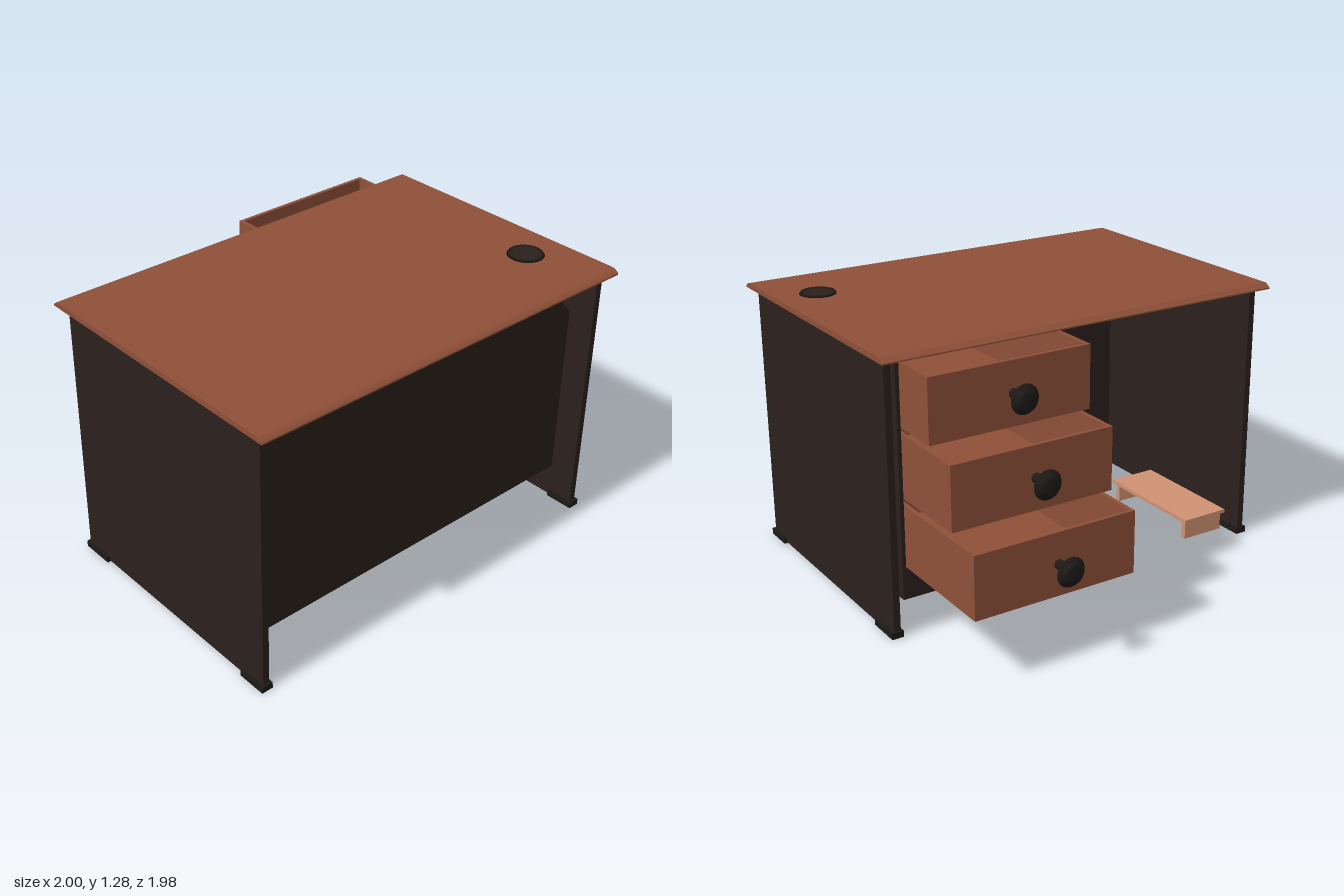
import * as THREE from 'three';

const mat = (color) => new THREE.MeshStandardMaterial({ color });
const wood = mat(0x8f5038);
const dark = mat(0x2b201c);
const black = mat(0x1d1a17);
const tan = mat(0xd09273);

export function createModel() {
  const desk = new THREE.Group();
  desk.name = 'desk';

  const add = (name, geometry, material, parent = desk) => {
    const mesh = new THREE.Mesh(geometry, material);
    mesh.name = name;
    parent.add(mesh);
    return mesh;
  };
  // Box given by its two extreme corners
  const box = (name, x0, x1, y0, y1, z0, z1, material, parent) => {
    const mesh = add(name, new THREE.BoxGeometry(x1 - x0, y1 - y0, z1 - z0), material, parent);
    mesh.position.set((x0 + x1) / 2, (y0 + y1) / 2, (z0 + z1) / 2);
    return mesh;
  };

  // Desktop: chamfered back edge, rounded front edge, swept along x
  const edge = new THREE.Shape();
  edge.moveTo(0.375, 1.25);
  edge.lineTo(0.375, 1.256);
  edge.lineTo(0.35, 1.275);
  edge.lineTo(-0.945, 1.275);
  edge.quadraticCurveTo(-0.97, 1.274, -0.985, 1.256);
  edge.lineTo(-0.985, 1.25);
  const topGeo = new THREE.ExtrudeGeometry(edge, { depth: 2, bevelEnabled: false, curveSegments: 6 });
  topGeo.rotateY(Math.PI / 2).translate(-1, 0, 0);
  add('desktop', topGeo, wood);

  // Side panels, each on a front and a back foot
  for (const s of [-1, 1]) {
    const side = new THREE.Group();
    side.name = s > 0 ? 'leftSide' : 'rightSide';
    desk.add(side);
    const span = (a, b) => (s > 0 ? [a, b] : [-b, -a]);
    box('sidePanel', ...span(0.935, 0.966), 0.006, 1.25, -0.315, 0.93, dark, side);
    box('frontFoot', ...span(0.925, 0.98), 0, 0.03, 0.8, 0.94, black, side);
    box('backFoot', ...span(0.925, 0.98), 0, 0.03, -0.322, -0.16, black, side);
  }

  // Modesty panel with its upper corner cut off for cables
  const panel = new THREE.Shape([
    [-0.935, 0.17], [0.935, 0.17], [0.935, 1.02], [0.69, 1.25], [-0.935, 1.25],
  ].map(([x, y]) => new THREE.Vector2(x, y)));
  const panelGeo = new THREE.ExtrudeGeometry(panel, { depth: 0.025, bevelEnabled: false });
  add('modestyPanel', panelGeo.translate(0, 0, 0.775), dark);

  // Drawer pedestal
  const pedestal = new THREE.Group();
  pedestal.name = 'pedestal';
  desk.add(pedestal);
  box('innerWall', 0.095, 0.115, 0.17, 1.25, -0.315, 0.775, dark, pedestal);
  box('outerWall', 0.898, 0.915, 0.17, 1.25, -0.315, 0.775, dark, pedestal);
  box('pedestalBottom', 0.115, 0.898, 0.17, 0.19, -0.315, 0.775, dark, pedestal);
  box('plinth', 0.115, 0.898, 0.19, 0.31, -0.315, -0.295, dark, pedestal);

  // Knob profile: radius, distance from the drawer front
  const knobGeo = new THREE.LatheGeometry([
    [0.021, 0], [0.021, 0.045], [0.028, 0.056], [0.043, 0.07], [0.062, 0.083], [0.066, 0.088],
    [0.062, 0.094], [0.05, 0.099], [0.046, 0.112], [0.034, 0.118], [0, 0.12],
  ].map(([r, d]) => new THREE.Vector2(r, d)), 32).rotateX(-Math.PI / 2);

  // Open drawers: bottom height, top height, front position
  [[0.315, 0.6, -0.87], [0.63, 0.917, -0.703], [0.942, 1.228, -0.538]].forEach(([y0, y1, z0]) => {
    const drawer = new THREE.Group();
    drawer.name = 'drawer';
    desk.add(drawer);
    const x0 = 0.122, x1 = 0.892, t = 0.018, z1 = z0 + 1;
    box('drawerFront', x0, x1, y0, y1, z0, z0 + t, wood, drawer);
    box('drawerBack', x0, x1, y0, y1, z1 - t, z1, wood, drawer);
    box('drawerSide', x0, x0 + t, y0, y1, z0 + t, z1 - t, wood, drawer);
    box('drawerSide', x1 - t, x1, y0, y1, z0 + t, z1 - t, wood, drawer);
    box('drawerFloor', x0 + t, x1 - t, y0, y0 + t, z0 + t, z1 - t, wood, drawer);
    add('knob', knobGeo, black, drawer).position.set(0.5, (y0 + y1) / 2 + 0.002, z0);
  });

  // Cable grommet through the desktop
  const grommet = new THREE.Group();
  grommet.name = 'cableGrommet';
  grommet.position.set(0.805, 0, 0.625);
  desk.add(grommet);
  add('grommetRim', new THREE.LatheGeometry([
    [0.068, 1.277], [0.07, 1.283], [0.079, 1.283], [0.084, 1.275], [0.068, 1.275],
  ].reverse().map(([r, y]) => new THREE.Vector2(r, y)), 40), black, grommet);
  add('grommetCap', new THREE.CylinderGeometry(0.069, 0.069, 0.065, 40), dark, grommet).position.y = 1.247;

  // Footrest: a plate on two end supports
  const footrest = new THREE.Group();
  footrest.name = 'footrest';
  desk.add(footrest);
  box('footrestPlate', -0.912, -0.667, 0.088, 0.106, -0.24, 0.36, tan, footrest);
  box('footrestSupport', -0.898, -0.678, 0, 0.088, -0.225, -0.2, tan, footrest);
  box('footrestSupport', -0.898, -0.678, 0, 0.088, 0.315, 0.34, tan, footrest);

  return desk;
}
